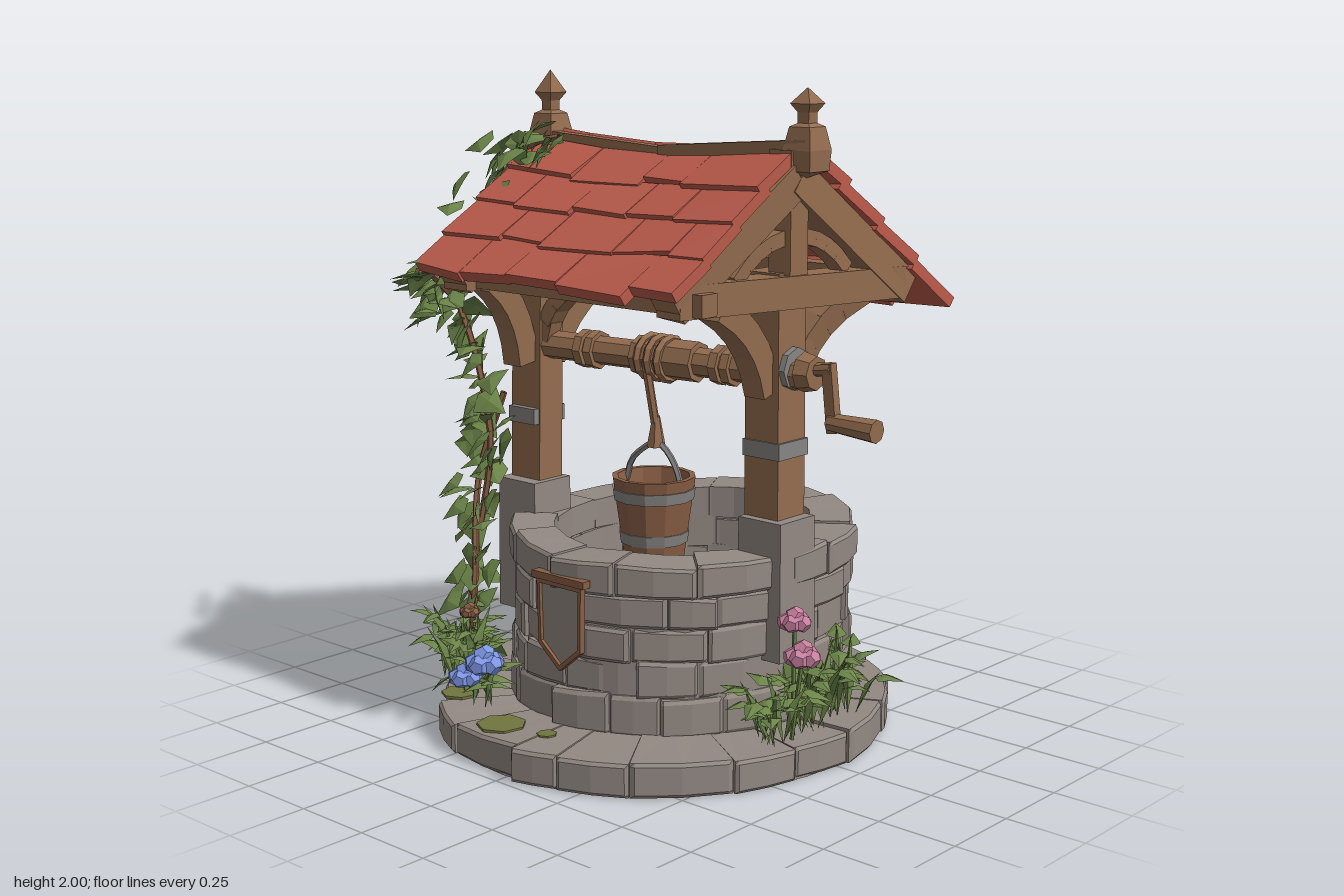
import * as THREE from 'three';
import { mergeGeometries } from 'three/addons/utils/BufferGeometryUtils.js';

const V = (x, y, z) => new THREE.Vector3(x, y, z);
const lerp = THREE.MathUtils.lerp;
let seed = 7;
const rnd = (a = 0, b = 1) => {
  seed = (seed * 16807) % 2147483647;
  return a + (b - a) * (seed / 2147483647);
};
const mat = (name, color, side = THREE.FrontSide) => {
  const m = new THREE.MeshStandardMaterial({ color, side });
  m.name = name;
  return m;
};

// faceted copy of a geometry
const facet = (g) => {
  const f = g.index ? g.toNonIndexed() : g;
  f.deleteAttribute('uv');
  f.computeVertexNormals();
  return f;
};
const add = (parent, name, geos, material) => {
  const m = new THREE.Mesh(mergeGeometries([geos].flat().map(facet)), material);
  m.name = name;
  parent.add(m);
  return m;
};
// put a geometry's y axis along dir, with its z axis near hint, at pos
const orient = (g, pos, dir, hint) => {
  const y = dir.clone().normalize();
  const z = hint.clone().addScaledVector(y, -hint.dot(y)).normalize();
  const x = y.clone().cross(z);
  return g.applyMatrix4(new THREE.Matrix4().makeBasis(x, y, z).setPosition(pos));
};
const hintFor = (d) => (Math.abs(d.x) > 0.5 * d.length() ? V(0, 0, 1) : V(1, 0, 0));
const beam = (a, b, w, d = w) => {
  const dir = b.clone().sub(a);
  return orient(new THREE.BoxGeometry(w, dir.length(), d), a.clone().lerp(b, 0.5), dir, hintFor(dir));
};
const rod = (a, b, r0, r1 = r0, n = 8) => {
  const dir = b.clone().sub(a);
  return orient(new THREE.CylinderGeometry(r1, r0, dir.length(), n), a.clone().lerp(b, 0.5), dir, hintFor(dir));
};
// curved timber made of short overlapping beams
const arch = (a, c, b, w, d) => {
  const p = new THREE.QuadraticBezierCurve3(a, c, b).getPoints(5);
  return p.slice(1).map((q, i) => beam(p[i], q.clone().lerp(p[i], -0.12), w, d));
};
const box = (w, h, d, x, y, z) => new THREE.BoxGeometry(w, h, d).translate(x, y, z);
const lathe = (pts, n) => new THREE.LatheGeometry(pts.map((p) => new THREE.Vector2(...p)), n);

// chamfered stone bent around the centre, between angles a0 and a1
const stoneBlock = (rIn, rOut, y0, y1, a0, a1) => {
  const g = new THREE.BoxGeometry(1, 1, 1, 4, 3, 1), p = g.attributes.position;
  const tilt = rnd(-0.012, 0.012), slant = rnd(-0.006, 0.006);
  for (let i = 0; i < p.count; i++) {
    const sx = p.getX(i) * 2, sy = p.getY(i) * 2;
    const edge = Math.abs(sx) > 0.9 || Math.abs(sy) > 0.9;
    const u = Math.abs(sx) > 0.9 || sx === 0 ? sx : Math.sign(sx) * 0.9;
    const v = Math.abs(sy) > 0.9 ? sy : Math.sign(sy) * 0.8;
    const a = lerp(a0, a1, u / 2 + 0.5);
    const r = p.getZ(i) > 0 ? rOut - (edge ? 0.008 : 0) + tilt * u : rIn;
    const top = v > 0 ? slant * u : 0;
    p.setXYZ(i, r * Math.sin(a), lerp(y0, y1, v / 2 + 0.5) + top, r * Math.cos(a));
  }
  return g;
};
const course = (n, rIn, rOut, y0, y1) => {
  const cuts = [], start = rnd(0, 6);
  for (let i = 0; i < n; i++) cuts.push(start + ((i + rnd(-0.28, 0.28)) / n) * Math.PI * 2);
  cuts.push(cuts[0] + Math.PI * 2);
  return cuts.slice(1).map((c, i) =>
    stoneBlock(rIn, rOut + rnd(-0.012, 0.012), y0, y1 + rnd(-0.006, 0.006), cuts[i] + 0.002, c - 0.002));
};

// rows of overlapping tiles on a slope given by its four corners
const tileSlope = (tl, tr, bl, br, rows) => {
  const normal = tr.clone().sub(tl).cross(tl.clone().sub(bl)).normalize();
  const tiles = [];
  for (let r = 0; r < rows; r++) {
    let u0 = 0;
    while (u0 < 1) {
      let u1 = u0 + rnd(0.13, 0.3);
      if (u1 > 0.9) u1 = 1;
      const v0 = Math.max(0, r / rows - 0.03), v1 = (r + 1) / rows + rnd(-0.035, 0.025);
      const lift = rnd(0.022, 0.036), skew = rnd(-0.02, 0.02);
      const g = new THREE.BoxGeometry(1, 1, 1), p = g.attributes.position;
      for (let i = 0; i < p.count; i++) {
        const u = p.getX(i) > 0 ? u1 - 0.002 : u0;
        const low = p.getZ(i) > 0;
        const v = low ? v1 + skew * Math.sign(p.getX(i)) : v0;
        const q = tl.clone().lerp(tr, u).lerp(bl.clone().lerp(br, u), v);
        q.addScaledVector(normal, (p.getY(i) > 0 ? 0.036 : 0) + (low ? lift - 0.014 : 0));
        q.y -= 0.03 * Math.sin(Math.PI * u) * (1 - v * 0.7);
        p.setXYZ(i, q.x, q.y, q.z);
      }
      tiles.push(g);
      u0 = u1;
    }
  }
  return tiles;
};

// folded leaf along +y
const leaf = (pos, dir, hint, len, wide, shoulder = 0.35) => {
  const w = wide / 2, m = [0, shoulder + 0.1, 0.1];
  const rim = [[0, 0, 0], [w, shoulder - 0.12, 0], [w * 0.6, shoulder + 0.2, 0], [0, 1, -0.05],
    [-w * 0.6, shoulder + 0.2, 0], [-w, shoulder - 0.12, 0]];
  const tri = rim.flatMap((p, i) => [...m, ...p, ...rim[(i + 1) % 6]]);
  const g = new THREE.BufferGeometry();
  g.setAttribute('position', new THREE.Float32BufferAttribute(tri, 3));
  return orient(g.scale(len, len, len), pos, dir, hint);
};
const ivyLeaves = (curve, n, spread) => Array.from({ length: n }, (_, i) => {
  const s = spread * (0.6 + 0.6 * (i / n));
  const p = curve.getPoint(i / (n - 1)).add(V(rnd(-s, s), rnd(-s, s) * 0.6, rnd(-s, s)));
  return leaf(p, V(rnd(-1, 0.6), rnd(-1, 0.15), rnd(-0.5, 0.9)), V(rnd(-0.9, 0.1), 0.7, rnd(0, 0.9)),
    rnd(0.09, 0.13), 0.95);
});
const bush = (x, z, n, height) => Array.from({ length: n }, () => {
  const a = rnd(0, 6.28), out = rnd(0.1, 0.5), root = V(x + rnd(-0.05, 0.05), 0.1, z + rnd(-0.05, 0.05));
  const dir = V(Math.cos(a) * out, 1, Math.sin(a) * out), len = height * rnd(0.45, 0.85);
  const tip = root.clone().addScaledVector(dir.clone().normalize(), len);
  const leaflets = [0.15, 0.45].map((t, k) => leaf(tip.clone().lerp(root, t),
    V(Math.cos(a + k * 2), rnd(-0.4, 0.5), Math.sin(a + k * 2)), V(0, 1, 0.1), rnd(0.07, 0.1), 0.65));
  return [leaf(root, dir, V(-Math.cos(a), 0.6, -Math.sin(a)), len, 0.13, 0.5), ...leaflets];
}).flat();
// full round bloom of clustered faceted petals
const blossom = (x, y, z, r) => [0, 1, 2, 3, 4, 5].map((i) => {
  const a = i * 1.2566, k = i === 5 ? 0 : r * 0.5;
  return new THREE.DodecahedronGeometry(r * 0.66).rotateY(i).scale(1, 0.9, 1)
    .translate(x + Math.cos(a) * k, y + (i === 5 ? r * 0.3 : -r * 0.12), z + Math.sin(a) * k);
});

export function createModel() {
  seed = 7;
  const model = new THREE.Group();
  model.name = 'wishingWell';
  const stone = mat('stone', 0x938983), wood = mat('wood', 0x936c4f);
  const oak = mat('bucket wood', 0x8a5f46, THREE.DoubleSide), metal = mat('metal', 0x878583);
  const red = mat('roof tile', 0xb95a4b), moss = mat('moss', 0x71753f);
  const green = mat('leaf', 0x6c8549, THREE.DoubleSide);
  const pink = mat('pink petal', 0xc87f9f), blue = mat('blue petal', 0x7d96e6);

  // round plinth
  const base = new THREE.Group();
  base.name = 'plinth';
  base.position.set(-0.016, 0, 0);
  base.scale.set(0.98, 1, 1.02);
  model.add(base);
  add(base, 'plinthStones', course(19, 0.44, 0.702, 0.002, 0.1), stone);
  add(base, 'plinthCore', new THREE.CylinderGeometry(0.68, 0.69, 0.09, 36).translate(0, 0.045, 0), stone);

  // oval well wall
  const wall = new THREE.Group();
  wall.name = 'wall';
  wall.position.set(-0.005, 0, -0.075);
  wall.scale.set(0.9, 1, 1);
  model.add(wall);
  const rows = [0.095, 0.215, 0.32, 0.425, 0.525, 0.625];
  for (let i = 0; i < 5; i++) {
    const r = [0.562, 0.55, 0.548, 0.555, 0.578][i];
    add(wall, 'wallCourse', course(i === 4 ? 13 : 15, 0.425, r, rows[i], rows[i + 1] - 0.001), stone);
  }
  add(wall, 'wallCore', lathe([[0.54, 0.09], [0.54, 0.6], [0.44, 0.6], [0.44, 0.09]], 32), stone);
  add(wall, 'wellFloor', new THREE.CylinderGeometry(0.45, 0.45, 0.1, 24).translate(0, 0.25, 0), stone);

  // moss patches
  add(model, 'mossPatches', [[-0.12, 0.61, 0.075], [0.04, 0.58, 0.03], [-0.42, 0.5, 0.06]]
    .map(([x, z, r]) => new THREE.CylinderGeometry(r, r, 0.008, 7).translate(x, 0.105, z)), moss);

  // posts, piers, gables and finials at the right (s = -1) and left (s = 1) ends
  for (const s of [-1, 1]) {
    const px = s < 0 ? -0.46 : 0.42, pz = s < 0 ? 0.12 : 0, gx = s * 0.46;
    const w = s < 0 ? 0.1 : 0.125;
    const end = new THREE.Group();
    end.name = s < 0 ? 'rightFrame' : 'leftFrame';
    model.add(end);
    const pier = new THREE.CylinderGeometry(0.112, 0.118, 0.42, 4).rotateY(Math.PI / 4);
    add(end, 'pier', pier.translate(s < 0 ? -0.455 : 0.437, 0.515, pz + 0.012), stone);
    add(end, 'post', beam(V(px, 0.6, pz), V(px - 0.005, 1.45, pz * 0.8), w, 0.125), wood);
    add(end, 'postBand', box(w + 0.012, 0.05, 0.137, px, 0.93, pz * 0.95), metal);
    // the right gable follows the skewed back slope
    const G = (z, y) => V(gx - (s > 0 ? z * 0.13 : 0), y, z);
    add(end, 'tieBeam', beam(G(-0.44, 1.385), G(0.45, 1.405), 0.095, 0.1), wood);
    add(end, 'rafters', [beam(G(-0.46, 1.36), G(0, 1.72), 0.1), beam(G(0.46, 1.39), G(0, 1.72), 0.1)], wood);
    add(end, 'kingPost', box(0.08, 0.4, 0.08, gx, 1.6, 0), wood);
    add(end, 'gableStruts', [-1, 1].flatMap((k) =>
      arch(G(k * 0.22, 1.44), G(k * 0.12, 1.56), G(0, 1.55), 0.045, 0.05)), wood);
    add(end, 'kneeBraces', [-1, 1].flatMap((k) =>
      arch(V(px, 1.1, pz + k * 0.06), V(px, 1.28, pz * 0.8 + k * 0.1), G(k * 0.28 + pz * 0.3, 1.37), 0.08, 0.075)), wood);
    add(end, 'sideBrace', arch(V(px - s * 0.05, 1.17, pz), V(px - s * 0.08, 1.33, pz), V(px - s * 0.27, 1.38, pz * 0.8),
      0.05, 0.06), wood);
    const finial = lathe([[0, 1.72], [0.064, 1.74], [0.07, 1.8], [0.052, 1.865], [0.028, 1.875], [0.028, 1.905],
      [0.05, 1.93], [0, s < 0 ? 2 : 1.975]], 4).rotateY(Math.PI / 4);
    add(end, 'finial', finial.translate(s * 0.512, 0, -0.015), wood);
  }

  // roof timbers and tiles
  add(model, 'purlins', [-0.38, 0.06, 0.38].map((z) => beam(V(-0.49, 1.395, z), V(0.49, 1.395, z), 0.065)), wood);
  add(model, 'ridgeBeam', [beam(V(-0.53, 1.795, 0.008), V(0, 1.765, 0.014), 0.04),
    beam(V(-0.01, 1.765, 0.014), V(0.54, 1.805, 0.004), 0.052)], wood);
  add(model, 'frontTiles', tileSlope(V(-0.51, 1.765, 0.015), V(0.5, 1.765, 0.015), V(-0.535, 1.4, 0.53), V(0.505, 1.4, 0.53), 4), red);
  add(model, 'backTiles', tileSlope(V(0.51, 1.795, -0.005), V(-0.5, 1.795, -0.005), V(0.61, 1.28, -0.61), V(-0.505, 1.29, -0.6), 4), red);

  // windlass and crank
  const A = (x) => V(x, 1.155, 0.06 - 0.115 * x);
  add(model, 'axle', [rod(A(-0.43), A(0.54), 0.045), rod(A(-0.06), A(0.16), 0.062),
    ...[-0.26, -0.22, 0.24, 0.28].map((x) => rod(A(x - 0.014), A(x + 0.014), 0.06))], wood);
  add(model, 'ropeCoil', [-0.02, 0.02, 0.06].map((x) =>
    new THREE.TorusGeometry(0.062, 0.014, 5, 12).rotateY(Math.PI / 2).translate(x, 1.155, 0.06)), wood);
  add(model, 'axleCap', rod(V(0.48, 1.17, 0), V(0.5, 1.17, 0), 0.064), metal);
  add(model, 'crankHub', [rod(V(0.525, 1.165, 0), V(0.57, 1.165, 0), 0.06, 0.05),
    rod(V(0.56, 1.175, 0), V(0.625, 1.185, 0), 0.02)], wood);
  add(model, 'crankArm', beam(V(0.612, 1.2, 0), V(0.635, 1.0, 0), 0.028, 0.035), wood);
  add(model, 'crankHandle', rod(V(0.62, 1.03, 0), V(0.785, 1.025, 0), 0.027, 0.035), wood);

  // rope and bucket
  const bucket = new THREE.Group();
  bucket.name = 'bucket';
  bucket.position.set(0.015, 0, 0.085);
  model.add(bucket);
  add(bucket, 'rope', [rod(V(-0.005, 1.15, 0.03), V(0.01, 0.94, 0), 0.014, 0.014, 6),
    rod(V(0.01, 0.885, 0), V(0.01, 0.98, 0), 0.03, 0.012, 6)], wood);
  add(bucket, 'bucketBody', lathe([[0, 0.545], [0.095, 0.545], [0.13, 0.795], [0.112, 0.795], [0.085, 0.57], [0, 0.57]], 12), oak);
  add(bucket, 'bucketHoops', [[0.59, 0.105], [0.725, 0.125]].map(([y, r]) =>
    lathe([[r - 0.01, y], [r, y], [r + 0.005, y + 0.035], [r - 0.005, y + 0.035]], 12)), metal);
  const bail = [[-0.115, 0.76], [-0.09, 0.83], [-0.03, 0.88], [0.01, 0.9], [0.05, 0.88], [0.09, 0.83], [0.115, 0.76]];
  add(bucket, 'bucketHandle', new THREE.TubeGeometry(
    new THREE.CatmullRomCurve3(bail.map(([x, y]) => V(x, y, 0))), 14, 0.01, 5), metal);

  // pennant-shaped plaque hung on the wall
  const plate = (k) => new THREE.Shape([[-0.09, 0.12], [0.09, 0.12], [0.085, -0.08], [0, -0.15], [-0.085, -0.08]]
    .map(([x, y]) => new THREE.Vector2(x * k, y * k)));
  const rim = plate(1);
  rim.holes.push(plate(0.88));
  const solid = (shape, depth) => new THREE.ExtrudeGeometry(shape, { depth, bevelEnabled: false }).translate(0.03, 0.43, 0.496);
  add(model, 'plaqueFrame', [solid(rim, 0.02), box(0.21, 0.022, 0.03, 0.03, 0.56, 0.506)], oak);
  add(model, 'plaqueFace', solid(plate(0.9), 0.009), stone);

  // climbing ivy
  const main = new THREE.CatmullRomCurve3([V(-0.56, 0.1, 0.36), V(-0.58, 0.5, 0.27), V(-0.53, 0.85, 0.25),
    V(-0.58, 1.12, 0.26), V(-0.65, 1.34, 0.27), V(-0.58, 1.62, 0.17), V(-0.52, 1.76, 0.1), V(-0.38, 1.8, 0.08)]);
  const side = new THREE.CatmullRomCurve3([V(-0.66, 1.28, 0.26), V(-0.65, 1.38, 0.38), V(-0.57, 1.41, 0.5)]);
  const low = new THREE.CatmullRomCurve3([V(-0.6, 0.1, 0.3), V(-0.54, 0.4, 0.32), V(-0.6, 0.72, 0.24), V(-0.52, 1, 0.2)]);
  add(model, 'ivyStems', [main, side, low].map((c) => new THREE.TubeGeometry(c, 24, 0.011, 5)), oak);
  add(model, 'ivyLeaves', [...ivyLeaves(main, 120, 0.08), ...ivyLeaves(side, 18, 0.055), ...ivyLeaves(low, 14, 0.06)], green);

  // ground plants and flowers
  add(model, 'leftPlants', [...bush(-0.55, 0.4, 18, 0.34), ...bush(-0.42, 0.47, 15, 0.34), ...bush(-0.28, 0.52, 5, 0.2)], green);
  add(model, 'rightPlants', [...bush(0.56, 0.17, 11, 0.26), ...bush(0.57, 0.02, 15, 0.35), ...bush(0.57, -0.13, 12, 0.35)], green);
  add(model, 'flowerStems', [rod(V(0.57, 0.1, 0.09), V(0.58, 0.45, 0.1), 0.007, 0.007, 5),
    rod(V(0.59, 0.1, 0.12), V(0.645, 0.37, 0.145), 0.007, 0.007, 5)], green);
  add(model, 'pinkFlowers', [...blossom(0.58, 0.455, 0.1, 0.046), ...blossom(0.645, 0.375, 0.145, 0.05)], pink);
  add(model, 'blueFlowers', [...blossom(-0.26, 0.255, 0.545, 0.056), ...blossom(-0.325, 0.2, 0.565, 0.048)], blue);
  add(model, 'driedFlower', blossom(-0.37, 0.38, 0.5, 0.03), oak);
  return model;
}
